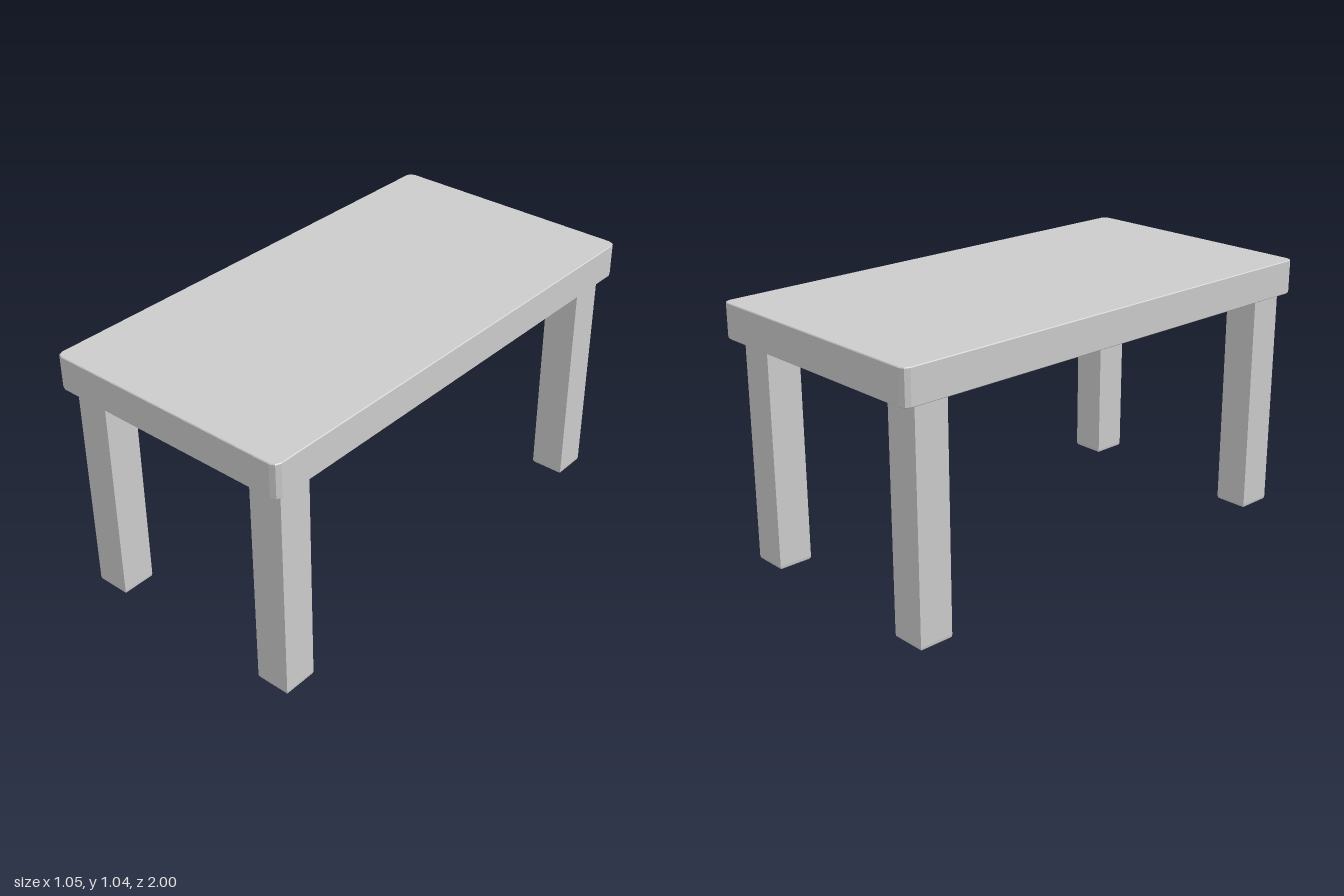
import * as THREE from 'three';

const material = new THREE.MeshStandardMaterial({ color: 0xcccccc });

// Upright slab with softened rims: w x d footprint, from y0 to y1, corner radius r
function slab(name, w, d, y0, y1, r, bevelSize, bevelHeight, bevelSegments) {
  const hw = w / 2 - bevelSize, hd = d / 2 - bevelSize;
  const shape = new THREE.Shape();
  if (r > 0) {
    shape.absarc(hw - r, hd - r, r, 0, Math.PI / 2);
    shape.absarc(r - hw, hd - r, r, Math.PI / 2, Math.PI);
    shape.absarc(r - hw, r - hd, r, Math.PI, Math.PI * 1.5);
    shape.absarc(hw - r, r - hd, r, Math.PI * 1.5, Math.PI * 2);
  } else {
    shape.moveTo(-hw, -hd).lineTo(hw, -hd).lineTo(hw, hd).lineTo(-hw, hd);
  }
  shape.closePath();
  const geometry = new THREE.ExtrudeGeometry(shape, {
    depth: y1 - y0 - 2 * bevelHeight,
    curveSegments: 1, // an arc takes two steps per curve segment
    bevelEnabled: true,
    bevelSize,
    bevelThickness: bevelHeight,
    bevelSegments,
  });
  geometry.rotateX(-Math.PI / 2);
  geometry.translate(0, y0 + bevelHeight, 0);
  const mesh = new THREE.Mesh(geometry, material);
  mesh.name = name;
  return mesh;
}

export function createModel() {
  const table = new THREE.Group();
  table.name = 'table';

  // Thick top with clipped round corners
  table.add(slab('tabletop', 1.046, 2, 0.904, 1.042, 0.026, 0.003, 0.003, 1));

  // Four square legs, softened at the foot and let into the top
  for (const [xName, x] of [['Left', 0.418], ['Right', -0.425]]) {
    for (const [zName, z] of [['front', 0.875], ['back', -0.868]]) {
      const leg = slab(`${zName}${xName}Leg`, 0.14, 0.14, 0, 0.93, 0, 0.005, 0.014, 2);
      leg.position.set(x, 0, z);
      table.add(leg);
    }
  }
  return table;
}
